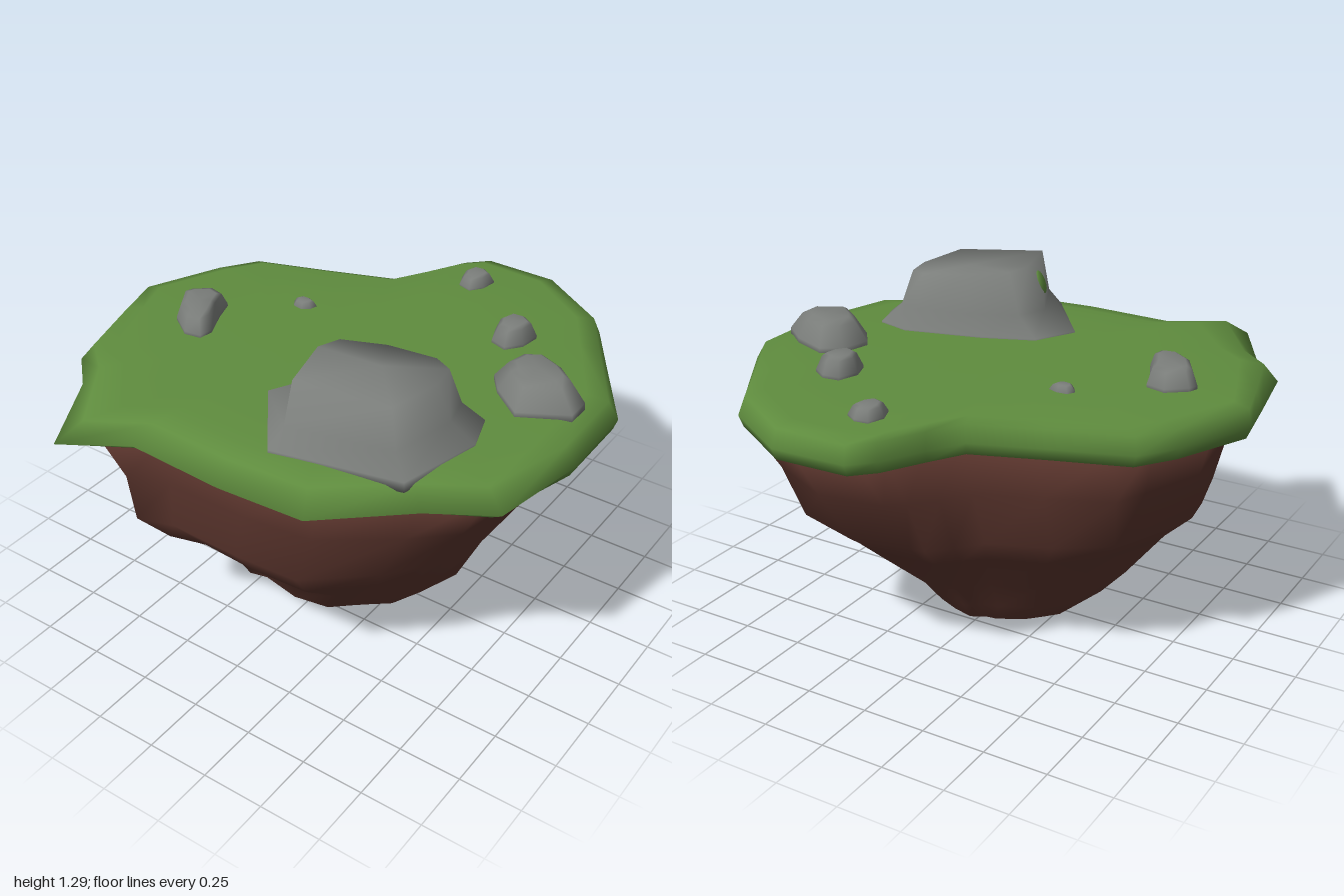
import * as THREE from 'three';

// Closed solid skinned over rings of [x, y, z] points (clockwise seen from above)
function loft(rings) {
  const n = rings[0].length, pos = [], index = [];
  const centre = (ring) => [0, 1, 2].map((k) => ring.reduce((s, p) => s + p[k], 0) / n);
  rings.forEach((ring) => ring.forEach((p) => pos.push(...p)));
  const last = (rings.length - 1) * n, low = rings.length * n, high = low + 1;
  pos.push(...centre(rings[0]), ...centre(rings[rings.length - 1]));
  for (let i = 0; i < n; i++) {
    const j = (i + 1) % n;
    for (let r = 0; r < last; r += n) {
      index.push(r + i, r + n + i, r + j, r + j, r + n + i, r + n + j);
    }
    index.push(low, i, j, high, last + j, last + i);
  }
  const g = new THREE.BufferGeometry();
  g.setAttribute('position', new THREE.Float32BufferAttribute(pos, 3));
  g.setIndex(index);
  g.computeVertexNormals();
  return g;
}

// Shore line as [x, z]
const shore = [
  [-1, 0.02], [-0.86, -0.28], [-0.76, -0.42], [-0.47, -0.52], [-0.2, -0.62], [-0.12, -0.75],
  [-0.03, -0.91], [0.05, -0.99], [0.35, -1], [0.65, -0.82], [0.78, -0.62], [0.99, -0.3],
  [1, 0.05], [0.93, 0.44], [0.7, 0.58], [0.4, 0.84], [0.05, 0.86], [-0.35, 0.84],
  [-0.59, 0.99], [-0.78, 0.64], [-0.91, 0.51], [-0.97, 0.2],
];

// Outline at height y, scaled about [cx, cz]
const ringAt = (outline, y, s, [cx, cz] = [0, 0]) =>
  outline.map(([x, z]) => [cx + (x - cx) * s, y, cz + (z - cz) * s]);

export function createModel() {
  const group = new THREE.Group();
  const mat = (name, color) => {
    const m = new THREE.MeshStandardMaterial({ color });
    m.name = name;
    return m;
  };
  const grass = mat('grass green', 0x5f8c3e);
  const soil = mat('soil brown', 0x5b352d);
  const stone = mat('stone grey', 0x7b7e7b);
  const add = (name, geometry, material) => {
    const mesh = new THREE.Mesh(geometry, material);
    mesh.name = name;
    group.add(mesh);
    return mesh;
  };

  // Grass slab: steep rim at the back and right, sloping rim at the front and left
  const rim = (y, s, front, left) => shore.map(([x, z]) => {
    const k = s - front * Math.max(0, z) - left * Math.max(0, x);
    return [x * k, y, z * k];
  });
  add('grassTop', loft([
    ringAt(shore, 0.898, 0.84),
    rim(0.9, 0.985, 0.1, 0),
    ringAt(shore, 0.945, 1),
    rim(1.015, 0.99, 0.09, 0.03),
    rim(1.032, 0.93, 0.15, 0.05),
    ringAt(shore, 1.035, 0.6),
  ]), grass);

  // Soil body: y, centre x, centre z, half width, half depth, roundness, bulge at the back left
  const levels = [
    [0.0, 0.03, 0.01, 0.23, 0.23, 0.8, 0],
    [0.02, 0.0, 0.02, 0.3, 0.28, 0.75, 0],
    [0.1, -0.01, 0.045, 0.39, 0.36, 0.65, 0],
    [0.23, 0.01, 0.02, 0.52, 0.44, 0.55, 0.05],
    [0.41, -0.02, 0.05, 0.63, 0.65, 0.5, 0.12],
    [0.52, -0.045, 0.035, 0.725, 0.76, 0.42, 0.15],
    [0.72, -0.01, 0.0, 0.81, 0.81, 0.22, 0.1],
    [0.925, 0.015, -0.025, 0.89, 0.89, 0.06, 0.085],
  ];
  add('soilBody', loft(levels.map(([y, cx, cz, rx, rz, t, bulge]) => shore.map(([x, z], i) => {
    const len = Math.hypot(x, z);
    const toCorner = Math.max(0, (x - z) / (len * Math.SQRT2));
    const lump = 0.025 * Math.sin(i * 2.1 + y * 5) * Math.min(1, (0.925 - y) * 4);
    const k = (1 - t + t / len) * (1 + lump + bulge * toCorner ** 12);
    return [cx + x * k * rx, y, cz + z * k * rz];
  }))), soil);

  // Large boulder with a flared foot and a broad crown, highest at the front
  const foot = [[-0.09, 0.39], [0, 0.22], [0.2, 0.14], [0.52, 0.06], [0.66, 0.1], [0.71, 0.25], [0.63, 0.58], [0.14, 0.69]];
  const crown = [[0.12, 0.36], [0.15, 0.27], [0.3, 0.19], [0.48, 0.15], [0.55, 0.18], [0.57, 0.29], [0.53, 0.51], [0.18, 0.59]];
  const blend = (t, y) => foot.map(([x, z], i) =>
    [x + (crown[i][0] - x) * t, y, z + (crown[i][1] - z) * t]);
  const tilt = (ring) => ring.map(([x, y, z]) => [x, y - 0.06 * (x - 0.33) + 0.03 * (z - 0.36), z]);
  add('boulder', loft([
    blend(0, 1.0), blend(0.02, 1.04), blend(0.64, 1.115), tilt(blend(1, 1.272)),
  ]), stone);

  // Moss patch lying flat on the boulder's right slope
  const moss = add('mossPatch', new THREE.SphereGeometry(0.05, 12, 8), grass);
  moss.scale.set(0.8, 1, 0.3);
  moss.position.set(0.11, 1.2, 0.455);
  moss.lookAt(0.11 - 0.88, 1.2 + 0.38, 0.455 + 0.27);

  // Smaller stones from a foot outline, height and crown scale
  const smallStone = (name, outline, top, s) => {
    const c = [0, 1].map((k) => outline.reduce((a, p) => a + p[k], 0) / outline.length);
    const h = top - 1.03;
    add(name, loft([
      ringAt(outline, 1.01, 1, c),
      ringAt(outline, 1.03 + h * 0.2, 0.98, c),
      ringAt(outline, 1.03 + h * 0.85, s, c),
      ringAt(outline, top, s * 0.75, c),
    ]), stone);
  };
  smallStone('rightStone', [[-0.77, 0.06], [-0.755, 0.02], [-0.68, -0.04], [-0.6, -0.02],
    [-0.57, 0.07], [-0.52, 0.18], [-0.53, 0.24], [-0.6, 0.25], [-0.7, 0.18]], 1.11, 0.78);
  smallStone('leftStone', [[0.54, -0.16], [0.57, -0.28], [0.65, -0.33], [0.8, -0.27],
    [0.91, -0.18], [0.91, -0.08], [0.73, 0.02], [0.6, -0.08]], 1.14, 0.67);

  // Little pebbles: name, x, z, half width, half depth, top
  [
    ['pebbleSmall', -0.355, -0.2, 0.05, 0.037, 1.06],
    ['pebbleBack', 0.11, -0.755, 0.065, 0.08, 1.08],
    ['pebbleSide', 0.455, -0.455, 0.08, 0.1, 1.11],
  ].forEach(([name, x, z, rx, rz, top]) => {
    const outline = Array.from({ length: 7 }, (_, i) => {
      const a = Math.PI + (i / 7) * Math.PI * 2, r = 1 + 0.1 * Math.sin(i * 2.6);
      return [x + Math.cos(a) * rx * r, z + Math.sin(a) * rz * r];
    });
    smallStone(name, outline, top, 0.72);
  });

  return group;
}
